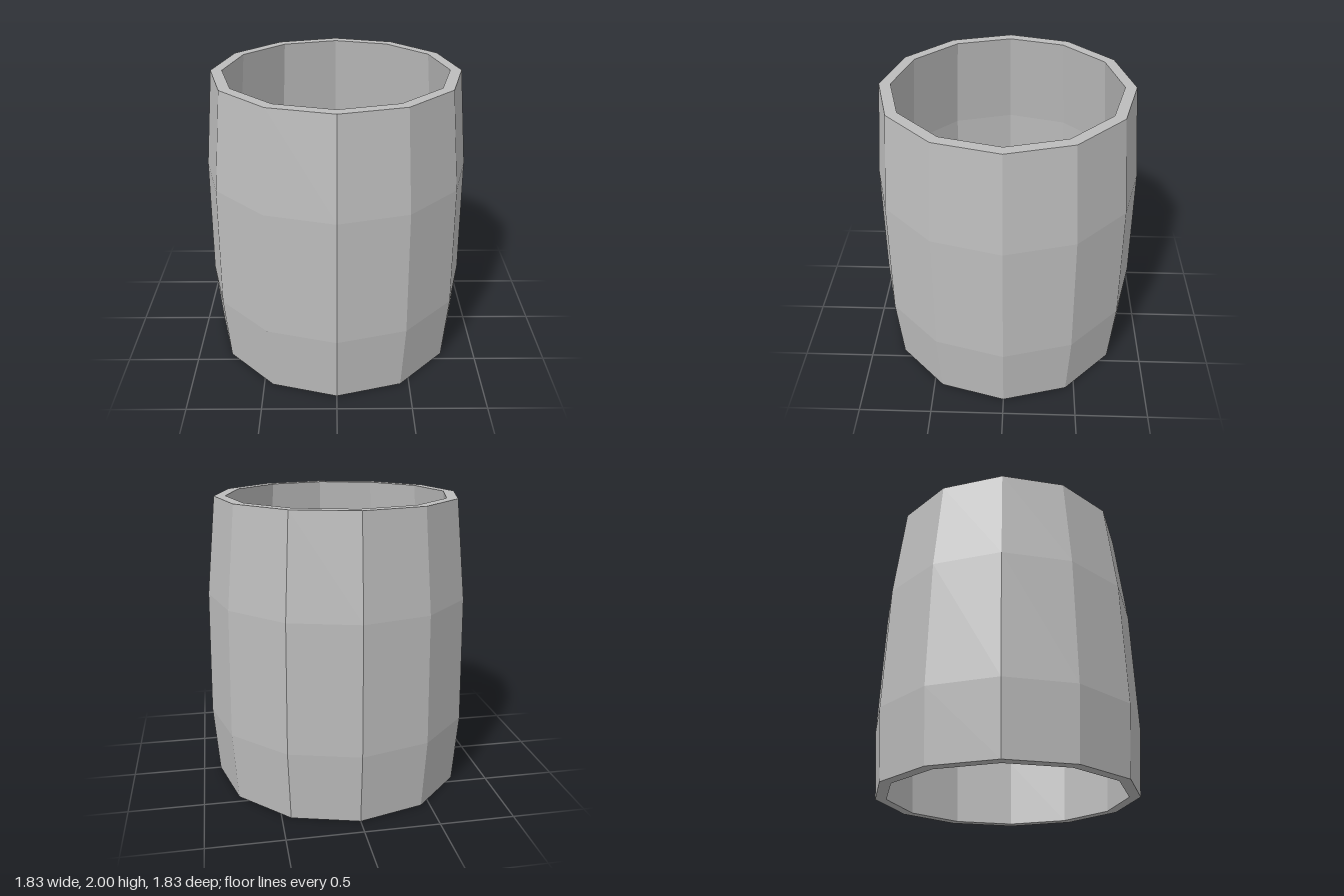
import * as THREE from 'three';

export function createModel() {
  const model = new THREE.Group();
  model.name = 'openBarrel';

  const grey = new THREE.MeshStandardMaterial({ color: 0xbcbcbc, flatShading: true });
  grey.name = 'grey';

  const sides = 12;
  const wall = 0.075;
  // Bulging outer profile, bottom to top: radius, height
  const outer = [[0.88, 0], [0.915, 0.48], [0.895, 1.34], [0.825, 2]]
    .map(([r, y]) => new THREE.Vector2(r, y));
  const inner = outer.map((p) => new THREE.Vector2(p.x - wall, p.y)).reverse();

  // Revolve one stretch of profile into a faceted surface
  const addPart = (name, points) => {
    const mesh = new THREE.Mesh(new THREE.LatheGeometry(points, sides), grey);
    mesh.name = name;
    model.add(mesh);
  };

  addPart('outerWall', outer);
  addPart('topRim', [outer[3], inner[0]]);
  addPart('innerWall', inner);
  addPart('bottomRim', [inner[3], outer[0]]);

  return model;
}
